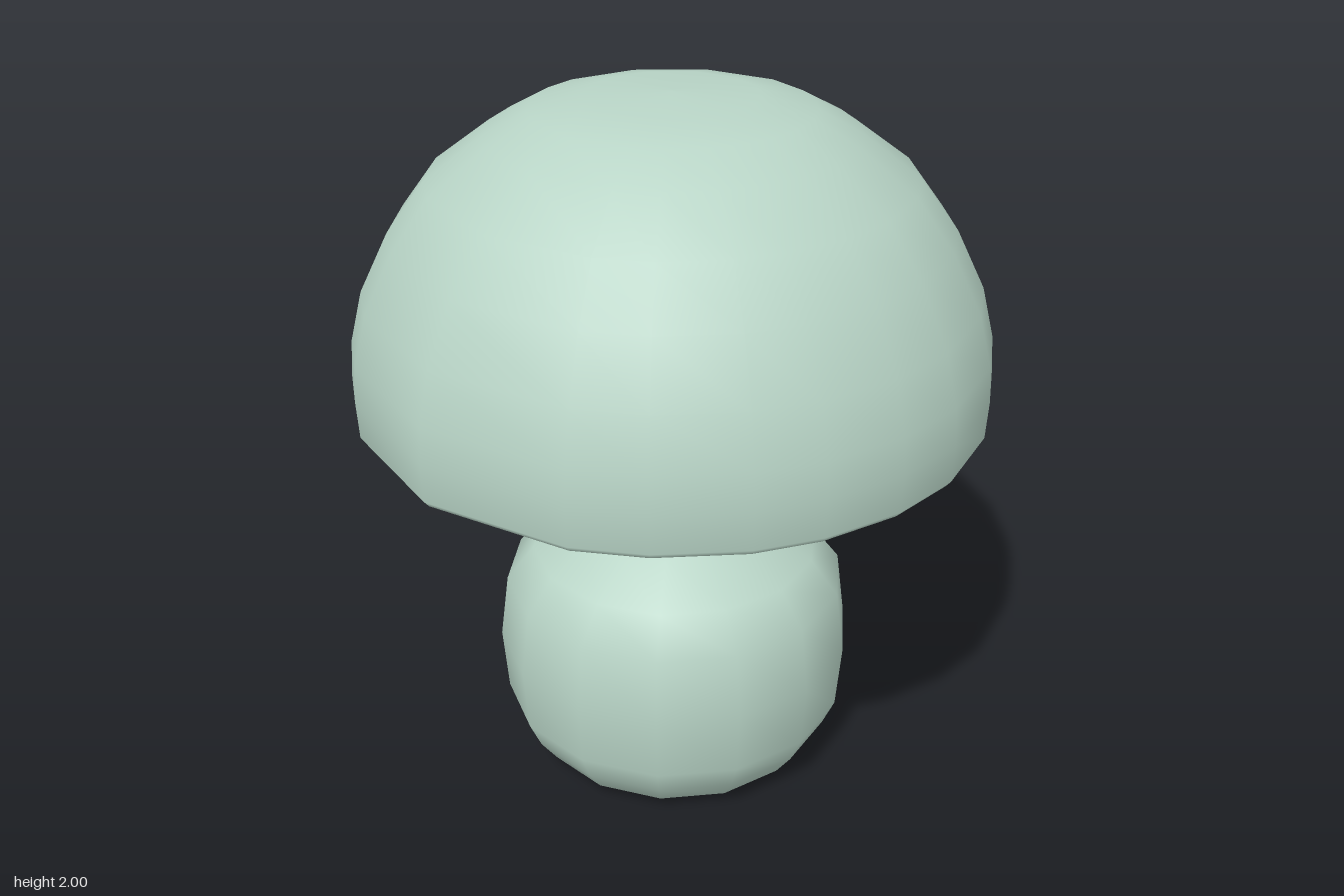
import * as THREE from 'three';

const sage = new THREE.MeshStandardMaterial({ color: 0xb8d4c6 });
sage.name = 'sage';
const amber = new THREE.MeshStandardMaterial({ color: 0xc68a42 });
amber.name = 'amber';

// Lathe whose meridians sit at the given angles (degrees), so facets can be uneven
function turned(name, material, profile, angles) {
  const n = angles.length;
  const points = profile.map(([r, y]) => new THREE.Vector2(r, y));
  const geo = new THREE.LatheGeometry(points, n);
  const axis = new THREE.Vector3(0, 1, 0);
  const v = new THREE.Vector3();
  for (let i = 0; i <= n; i++) {
    const target = THREE.MathUtils.degToRad(i < n ? angles[i] : angles[0] + 360);
    const turn = target - (i / n) * Math.PI * 2;
    for (let j = 0; j < points.length; j++) {
      const k = i * points.length + j;
      for (const attr of [geo.attributes.position, geo.attributes.normal]) {
        v.fromBufferAttribute(attr, k).applyAxisAngle(axis, turn);
        attr.setXYZ(k, v.x, v.y, v.z);
      }
    }
  }
  const mesh = new THREE.Mesh(geo, material);
  mesh.name = name;
  return mesh;
}

const even = (n, start = 0) => Array.from({ length: n }, (_, i) => start + (i * 360) / n);

export function createModel() {
  const lamp = new THREE.Group();
  lamp.name = 'tableLamp';

  // Domed shade: inner skin from the top down, round the rim, then the outer skin up
  const shadeAngles = [-3, 10, 26, 38, 53, 67, 85, 99, 115, 127, 147, 179, 210, 240, 255, 272, 290, 302, 329];
  lamp.add(turned('shade', sage, [
    [0, 1.965], [0.22, 1.955], [0.37, 1.91], [0.62, 1.76], [0.72, 1.62], [0.8, 1.46],
    [0.84, 1.25], [0.84, 1.14], [0.845, 1.12], [0.865, 1.118], [0.879, 1.135],
    [0.884, 1.24], [0.876, 1.34], [0.84, 1.48], [0.76, 1.64], [0.655, 1.78],
    [0.5, 1.895], [0.38, 1.96], [0.23, 1.992], [0, 2],
  ], shadeAngles));

  // Rounded pot base with a straight collar
  const base = turned('base', sage, [
    [0, 0], [0.34, 0], [0.36, 0.004], [0.42, 0.04], [0.47, 0.11], [0.505, 0.19],
    [0.52, 0.38], [0.495, 0.57], [0.415, 0.67], [0.28, 0.76], [0.23, 0.79],
    [0.215, 0.82], [0.215, 0.95], [0.205, 0.975], [0.185, 0.982], [0, 0.982],
  ], even(14, 8));
  base.position.set(0.01, 0, 0.015);
  lamp.add(base);

  // Socket, amber ring and bulb
  const fitting = new THREE.Group();
  fitting.name = 'lightFitting';
  const sides = even(14);
  fitting.add(
    turned('socket', sage, [[0.17, 0.975], [0.16, 0.99], [0.143, 1.005]], sides),
    turned('socketRing', amber, [[0.143, 1.005], [0.133, 1.025], [0.12, 1.053]], sides),
    turned('bulb', sage, [
      [0.12, 1.053], [0.132, 1.11], [0.155, 1.17], [0.16, 1.21], [0.145, 1.28],
      [0.1, 1.33], [0.05, 1.352], [0, 1.357],
    ], sides),
  );

  // Small amber patch on the side of the bulb
  const patch = new THREE.Mesh(new THREE.SphereGeometry(0.164, 6, 4, 2.1, 0.7, 1.35, 0.5), amber);
  patch.name = 'bulbPatch';
  patch.position.y = 1.2;
  fitting.add(patch);
  lamp.add(fitting);

  return lamp;
}
